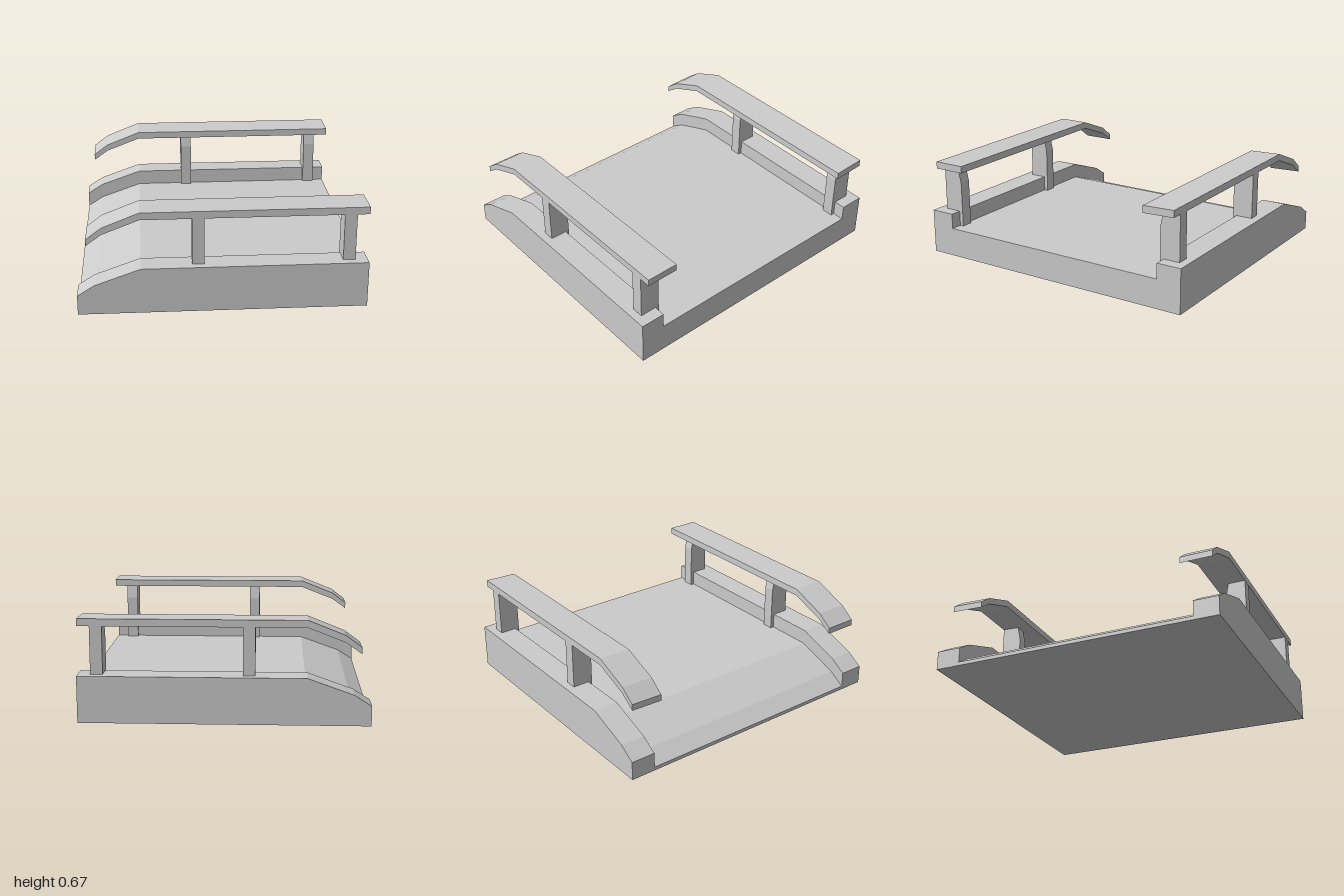
import * as THREE from 'three';

const material = new THREE.MeshStandardMaterial({ color: 0xcccccc, flatShading: true });

// Extrudes an x/y outline along z from z0 to z1
function slab(name, points, z0, z1) {
  const shape = new THREE.Shape(points.map(([x, y]) => new THREE.Vector2(x, y)));
  const geometry = new THREE.ExtrudeGeometry(shape, { depth: z1 - z0, bevelEnabled: false });
  geometry.translate(0, 0, z0);
  const mesh = new THREE.Mesh(geometry, material);
  mesh.name = name;
  return mesh;
}

// Post: z/y outline with a tapered inner top, extruded along x
function post(x0, x1, side) {
  const outline = [[0.945, 0.18], [0.945, 0.63], [0.825, 0.63], [0.825, 0.615], [0.803, 0.51], [0.803, 0.18]];
  const shape = new THREE.Shape(outline.map(([z, y]) => new THREE.Vector2(-z * side, y)));
  const geometry = new THREE.ExtrudeGeometry(shape, { depth: x1 - x0, bevelEnabled: false });
  geometry.rotateY(Math.PI / 2).translate(x0, 0, 0);
  const mesh = new THREE.Mesh(geometry, material);
  mesh.name = 'railingPost';
  return mesh;
}

export function createModel() {
  const model = new THREE.Group();
  model.name = 'bridgeSection';

  // Road deck, sloping down at the -x end
  const crest = [[0.93, 0.305], [-0.53, 0.305], [-0.825, 0.2], [-0.935, 0.13]];
  const base = [[-0.935, 0], [0.93, 0]];
  model.add(slab('deck', [...base, ...crest.map(([x, y]) => [x, y - 0.105])], -0.83, 0.83));

  const rail = [
    [0.93, 0.617], [0.93, 0.665], [-0.53, 0.665], [-0.77, 0.57],
    [-0.87, 0.495], [-0.87, 0.452], [-0.77, 0.524], [-0.53, 0.617],
  ];

  for (const side of [1, -1]) {
    const span = (a, b) => (side > 0 ? [a, b] : [-b, -a]);
    const group = new THREE.Group();
    group.name = side > 0 ? 'frontRailing' : 'backRailing';

    // Raised curb and its handrail
    group.add(slab('curb', [...base, ...crest], ...span(0.83, 1)));
    const handrail = slab('handrail', rail, ...span(0.725, 0.946));
    if (side < 0) {
      // The back handrail leans slightly inward
      const p = handrail.geometry.attributes.position;
      for (let i = 0; i < p.count; i++) {
        if (p.getZ(i) > -0.8) p.setY(i, p.getY(i) - 0.008);
      }
      handrail.geometry.computeVertexNormals();
    }
    group.add(handrail);

    for (const [x0, x1] of [[-0.2, -0.122], [0.77, 0.85]]) group.add(post(x0, x1, side));
    model.add(group);
  }
  return model;
}
